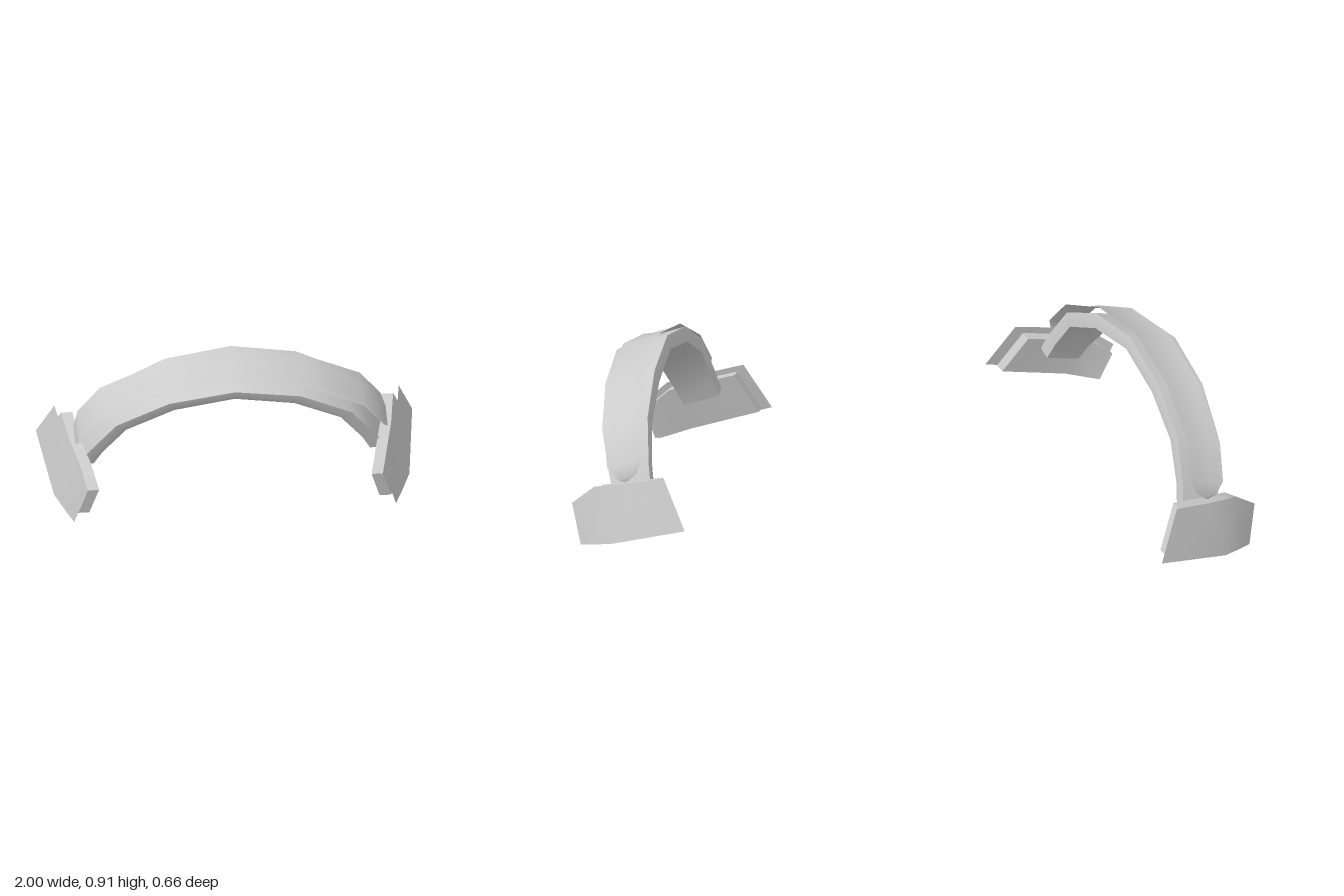
import * as THREE from 'three';
import { toCreasedNormals } from 'three/addons/utils/BufferGeometryUtils.js';

const material = new THREE.MeshStandardMaterial({ color: 0xcccccc, side: THREE.DoubleSide });

// Skin a list of cross-sections; closed sections become capped solids
function loft(name, sections, { closed = false, flip = false, crease = 1 } = {}) {
  const n = sections[0].length, last = sections.length - 1, index = [];
  const tri = (a, b, c) => index.push(...(flip ? [a, c, b] : [a, b, c]));
  for (let i = 0; i < last; i++) {
    for (let j = 0; j < (closed ? n : n - 1); j++) {
      const k = (j + 1) % n, a = i * n + j, b = i * n + k;
      tri(a, b, b + n);
      tri(a, b + n, a + n);
    }
  }
  if (closed) {
    for (let j = 1; j < n - 1; j++) {
      tri(0, j + 1, j);
      tri(last * n, last * n + j, last * n + j + 1);
    }
  }
  const geometry = new THREE.BufferGeometry();
  geometry.setAttribute('position', new THREE.Float32BufferAttribute(sections.flat(2), 3));
  geometry.setIndex(index);
  const mesh = new THREE.Mesh(toCreasedNormals(geometry, crease), material);
  mesh.name = name;
  return mesh;
}

// Leaning arch frame: x across, u up the arch, w along the band width
const arch = (x, u, w) => [x, 0.937 * u - 0.35 * w, 0.35 * u + 0.937 * w];

// Repeat half-arch stations on the other side, ordered from -x to +x
const mirrored = (half) => [
  ...half.slice(1).reverse().map((s) => ({ ...s, side: -1 })),
  ...half.map((s) => ({ ...s, side: 1 })),
];

// Padded inner headband: inner and outer profile, centre and half width
function headband() {
  const stations = mirrored([
    { inner: [0, 0.77], outer: [0, 0.846], w: -0.167, hw: 0.147 },
    { inner: [0.32, 0.7], outer: [0.35, 0.775], w: -0.16, hw: 0.143 },
    { inner: [0.57, 0.555], outer: [0.625, 0.61], w: -0.138, hw: 0.132 },
    { inner: [0.69, 0.365], outer: [0.76, 0.39], w: -0.114, hw: 0.114 },
    { inner: [0.735, 0.26], outer: [0.805, 0.28], w: -0.105, hw: 0.106 },
  ]);
  const section = [[-1, 1], [1, 1], [1, 0.5], [0.94, 0], [-0.94, 0], [-1, 0.5]];
  return loft('headbandPad', stations.map(({ inner, outer, w, hw, side }) =>
    section.map(([s, t]) => arch(
      side * THREE.MathUtils.lerp(inner[0], outer[0], t),
      THREE.MathUtils.lerp(inner[1], outer[1], t),
      w + s * hw))), { closed: true });
}

// Thin outer cover with rounded tips, slightly dished across its width
function cover() {
  const stations = mirrored([
    { x: 0, u: 0.868, w: -0.172, hw: 0.105 },
    { x: 0.39, u: 0.788, w: -0.162, hw: 0.106 },
    { x: 0.69, u: 0.62, w: -0.142, hw: 0.104 },
    { x: 0.805, u: 0.45, w: -0.121, hw: 0.101 },
    { x: 0.83, u: 0.385, w: -0.115, hw: 0.06 },
    { x: 0.825, u: 0.362, w: -0.1, hw: 0.022 },
  ]);
  return loft('headbandCover', stations.map(({ x, u, w, hw, side }) =>
    [[-1, 0], [-0.4, 0.009], [0.5, 0.009], [1, 0]].map(([s, dish]) =>
      arch(side * x, u - dish, w + s * hw))));
}

// Ear plate edges on the +x side, front to back
const plateTop = [[0.8, 0.215, 0.33], [0.84, 0.33, 0.2], [0.88, 0.375, 0.03], [0.915, 0.435, -0.195]];
const plateBottom = [[0.855, 0.005, 0.27], [0.89, 0.022, 0.2], [0.945, 0.055, 0.08], [1, 0.178, -0.33]];

function earCup(side) {
  const group = new THREE.Group();
  group.name = side > 0 ? 'leftEarCup' : 'rightEarCup';
  const place = ([x, y, z]) => [side * x, y, z];

  // Curved outer sheet
  group.add(loft('earPlate', plateTop.map((p, i) => [p, plateBottom[i]].map(place)), { flip: side < 0 }));

  // Cushion: the plate outline shrunk and moved towards the head
  const shrink = ([x, y, z], inset) =>
    place([0.9 + (x - 0.9) * 0.86 - inset, 0.225 + (y - 0.225) * 0.86, z * 0.86]);
  group.add(loft('earCushion', plateTop.map((top, i) => {
    const bottom = plateBottom[i];
    return [shrink(top, 0.03), shrink(top, 0.09), shrink(bottom, 0.09), shrink(bottom, 0.03)];
  }), { closed: true, flip: side > 0 }));
  return group;
}

export function createModel() {
  const model = new THREE.Group();
  model.name = 'headphones';
  model.add(headband(), cover(), earCup(1), earCup(-1));
  return model;
}
